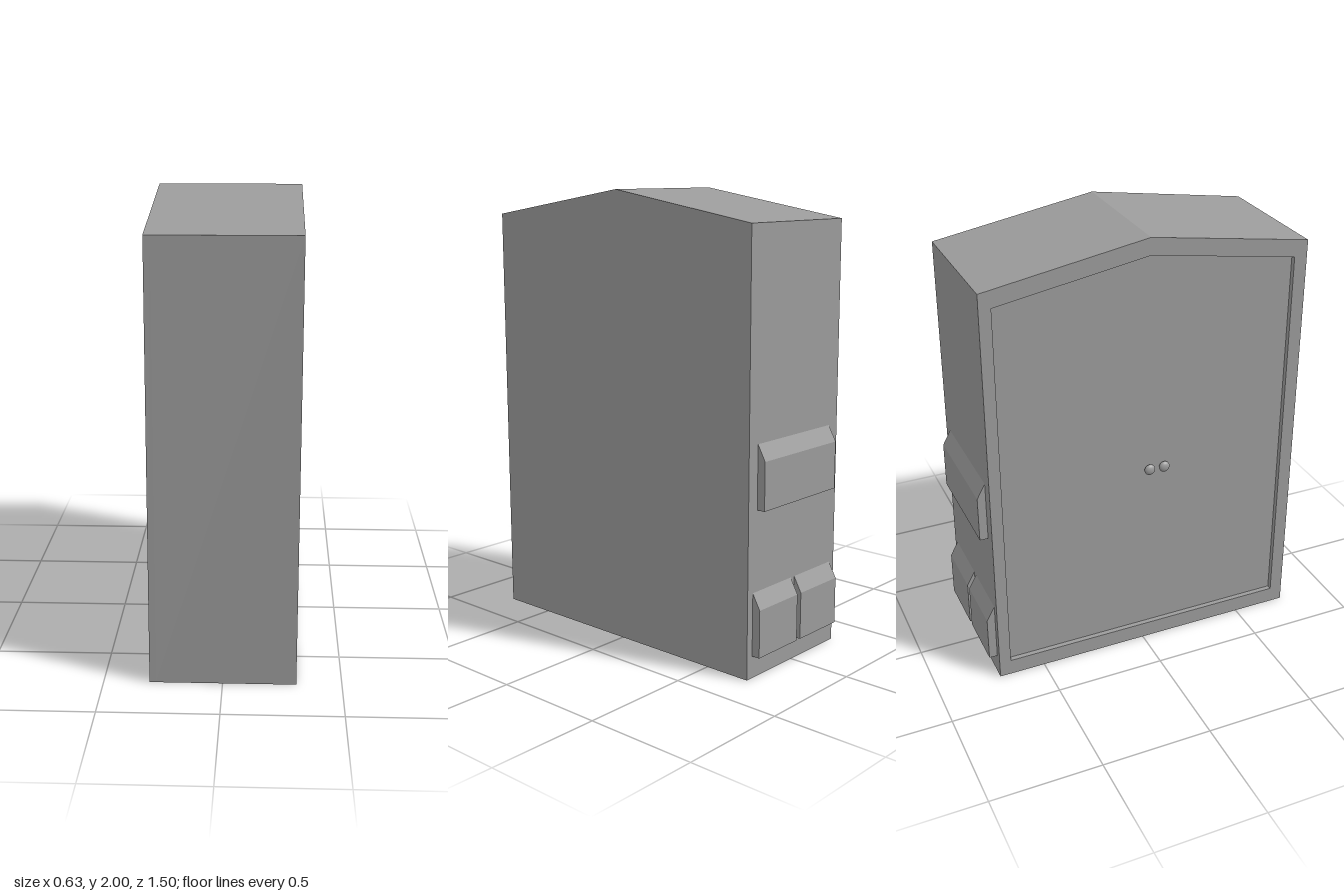
import * as THREE from 'three';

const grey = new THREE.MeshStandardMaterial({ color: 0x9b9b9b, flatShading: true });
const smoothGrey = new THREE.MeshStandardMaterial({ color: 0x9b9b9b });

// The cabinet leans very slightly towards +x with height.
const lean = new THREE.Matrix4().set(1, 0.0035, 0, 0, 0, 1, 0, 0, 0, 0, 1, 0, 0, 0, 0, 1);

// Shape from [z, y] points; u = -z so that the extrusion can be turned along +x.
const outline = (points, Type = THREE.Shape) =>
  new Type(points.map(([z, y]) => new THREE.Vector2(-z, y)));

// Extrude a side profile from x0 to x1.
function slab(name, shape, x0, x1) {
  const geometry = new THREE.ExtrudeGeometry(shape, { depth: x1 - x0, bevelEnabled: false });
  geometry.rotateY(Math.PI / 2).translate(x0, 0, 0).applyMatrix4(lean);
  const mesh = new THREE.Mesh(geometry, grey);
  mesh.name = name;
  return mesh;
}

export function createModel() {
  const model = new THREE.Group();
  model.name = 'cabinet';

  // Both outlines run counter-clockwise so the reveal of the opening faces inwards.
  const wall = [[-0.713, 0], [-0.713, 1.88], [0.017, 2], [0.75, 1.88], [0.75, 0]];
  const opening = [[-0.66, 0.075], [-0.66, 1.812], [0.017, 1.923], [0.69, 1.812], [0.69, 0.075]];

  // Gabled body with a raised frame around the recessed door
  model.add(slab('body', outline(wall), -0.28, 0.309));
  const frame = outline(wall);
  frame.holes.push(outline(opening, THREE.Path));
  model.add(slab('doorFrame', frame, -0.307, -0.28));
  model.add(slab('door', outline(opening), -0.284, -0.279));

  // Pair of round door knobs on short stems
  for (const [name, z] of [['rearKnob', 0.026], ['frontKnob', 0.096]]) {
    const knob = new THREE.Group();
    knob.name = name;
    const ball = new THREE.Mesh(new THREE.SphereGeometry(0.025, 20, 14), smoothGrey);
    ball.scale.x = 0.6;
    ball.position.x = -0.302;
    const stem = new THREE.Mesh(new THREE.CylinderGeometry(0.011, 0.011, 0.02, 16), smoothGrey);
    stem.rotation.z = Math.PI / 2;
    stem.position.x = -0.292;
    knob.add(ball, stem);
    knob.position.set(0, 0.92, z);
    model.add(knob);
  }

  // Hooded vent boxes on the back, each with a sloping top
  const vents = [
    ['upperVent', -0.248, 0.252, 0.722],
    ['lowerLeftVent', 0.012, 0.275, 0.097],
    ['lowerRightVent', -0.275, -0.013, 0.097],
  ];
  for (const [name, x0, x1, y] of vents) {
    const profile = [[-0.705, y], [-0.705, y + 0.29], [-0.75, y + 0.208], [-0.75, y]];
    model.add(slab(name, outline(profile), x0, x1));
  }

  return model;
}
